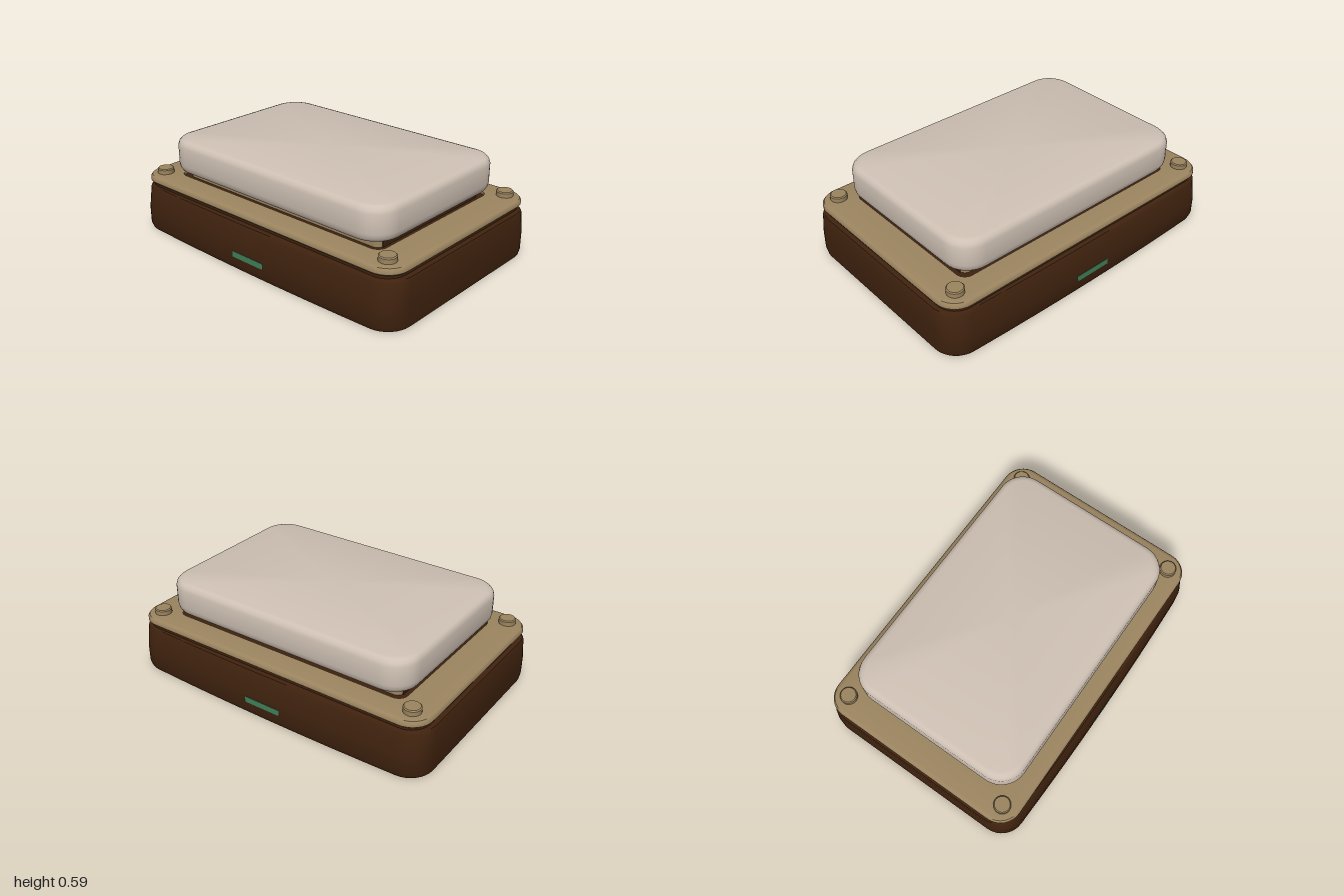
import * as THREE from 'three';
import { toCreasedNormals } from 'three/addons/utils/BufferGeometryUtils.js';

const material = (name, color) => {
  const m = new THREE.MeshStandardMaterial({ color });
  m.name = name;
  return m;
};

// Rounded rectangle in plan, with optionally bowed front and back edges
function loop([y, hx, hz, r, bow = 0]) {
  const pts = [];
  const corners = [[1, -1], [-1, -1], [-1, 1], [1, 1]];
  const add = (x, z) => pts.push([x, y, z + Math.sign(z) * bow * (1 - (x / hx) ** 2)]);
  corners.forEach(([sx, sz], k) => {
    for (let i = 0; i <= 8; i++) {
      const a = (k + i / 8) * Math.PI / 2;
      add(sx * (hx - r) + r * Math.cos(a), sz * (hz - r) - r * Math.sin(a));
    }
    // Extra points along the long edges carry the bow
    if (k % 2 === 0) for (let i = 1; i < 8; i++) add(sx * (hx - r) * (1 - i / 4), sz * hz);
  });
  return pts;
}

// Skin a stack of loops, listed from bottom to top
function loft(rows, capBottom = true, capTop = true) {
  const loops = rows.map(loop), n = loops[0].length, pos = [], index = [];
  loops.forEach(l => l.forEach(p => pos.push(...p)));
  const centre = loops.length * n;
  pos.push(0, rows[0][0], 0, 0, rows[rows.length - 1][0], 0);
  for (let i = 0; i < n; i++) {
    const k = (i + 1) % n, top = centre - n;
    for (let j = 0; j < loops.length - 1; j++) {
      const a = j * n + i, b = j * n + k;
      index.push(a, b, b + n, a, b + n, a + n);
    }
    if (capBottom) index.push(centre, k, i);
    if (capTop) index.push(centre + 1, top + i, top + k);
  }
  const g = new THREE.BufferGeometry();
  g.setAttribute('position', new THREE.Float32BufferAttribute(pos, 3));
  g.setIndex(index);
  return toCreasedNormals(g, 0.7);
}

export function createModel() {
  const brown = material('dark brown', 0x3f220e);
  const tan = material('tan', 0x9c8560);
  const cream = material('warm cream', 0xcfc1b4);
  const green = material('green', 0x41805a);
  const group = new THREE.Group();
  const add = (name, geometry, mat, x = 0, y = 0, z = 0) => {
    const mesh = new THREE.Mesh(geometry, mat);
    mesh.name = name;
    mesh.position.set(x, y, z);
    group.add(mesh);
  };

  // Base housing and the narrow seam above it
  add('base', loft([
    [0, 0.997, 0.65, 0.14, 0.022],
    [0.03, 1, 0.662, 0.14, 0.022],
    [0.13, 1, 0.662, 0.14, 0.022],
    [0.265, 0.997, 0.642, 0.14, 0.022],
    [0.28, 0.99, 0.635, 0.14, 0.02],
    [0.285, 0.975, 0.625, 0.13, 0.015],
  ]), brown);
  add('seam', loft([[0.28, 0.965, 0.63, 0.12], [0.31, 0.965, 0.63, 0.12]]), brown);

  // Cover plate with a central opening
  add('coverPlate', loft([
    [0.306, 0.9, 0.58, 0.1],
    [0.306, 0.972, 0.637, 0.12],
    [0.315, 0.982, 0.647, 0.13],
    [0.333, 0.982, 0.647, 0.13],
    [0.346, 0.972, 0.637, 0.12],
    [0.35, 0.955, 0.62, 0.11],
    [0.352, 0.79, 0.505, 0.06],
    [0.32, 0.79, 0.505, 0.06],
  ], false, false), tan);

  // Dark gap and collar beneath the pad
  add('gasket', loft([[0.315, 0.8, 0.515, 0.06], [0.335, 0.8, 0.515, 0.06]]), brown);
  add('collar', loft([[0.33, 0.75, 0.46, 0.04], [0.41, 0.75, 0.46, 0.04]]), tan);

  // Cushioned top pad
  add('pad', loft([
    [0.39, 0.795, 0.52, 0.13],
    [0.397, 0.812, 0.537, 0.145],
    [0.415, 0.822, 0.547, 0.15],
    [0.44, 0.827, 0.552, 0.155],
    [0.55, 0.827, 0.552, 0.155],
    [0.573, 0.82, 0.545, 0.15],
    [0.588, 0.806, 0.531, 0.14],
    [0.594, 0.785, 0.51, 0.125],
  ]), cream);

  // Corner studs and the dark strips on the collar ends
  const studProfile = [[0, 0], [0.05, 0], [0.05, 0.032], [0.044, 0.038], [0, 0.038]]
    .map(p => new THREE.Vector2(...p));
  const stud = toCreasedNormals(new THREE.LatheGeometry(studProfile, 24), 0.6);
  for (const x of [-1, 1]) {
    for (const z of [-1, 1]) add('cornerStud', stud, tan, x * 0.875, 0.345, z * 0.545);
    add('collarStrip', new THREE.BoxGeometry(0.006, 0.05, 0.86), brown, x * 0.751, 0.36, 0);
  }

  // Indicator slots on the front and back
  for (const z of [-1, 1]) {
    add('indicator', new THREE.BoxGeometry(0.24, 0.036, 0.006), green, -0.005 * z, 0.094, z * 0.683);
  }
  return group;
}
